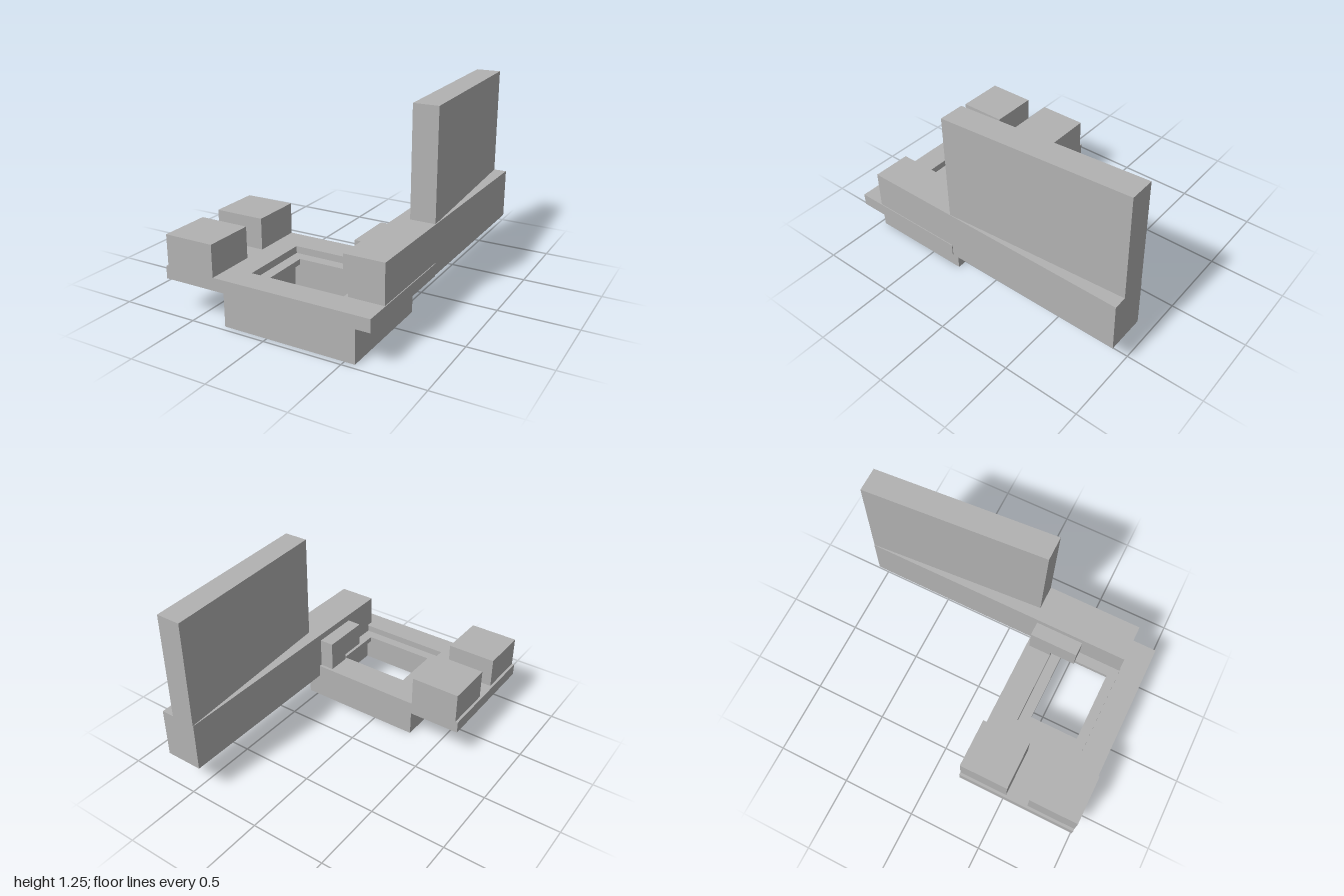
import * as THREE from 'three';

export function createModel() {
  const model = new THREE.Group();
  const grey = new THREE.MeshStandardMaterial({ color: 0xb2b2b2 });
  grey.name = 'plain grey';

  const add = (name, geometry) => {
    const mesh = new THREE.Mesh(geometry, grey);
    mesh.name = name;
    model.add(mesh);
  };

  // Footprint from [x, z] corners
  const outline = (points) => new THREE.Shape(points.map(([x, z]) => new THREE.Vector2(x, z)));
  const rect = (x0, x1, z0, z1) => outline([[x0, z0], [x1, z0], [x1, z1], [x0, z1]]);
  const circle = (x, z, r) => new THREE.Path().absarc(x, z, r, 0, Math.PI * 2);

  // Footprint raised from y0 to y1, with optional holes
  const layer = (name, shape, y0, y1, holes = []) => {
    shape.holes.push(...holes);
    const geometry = new THREE.ExtrudeGeometry(shape, { depth: y1 - y0, bevelEnabled: false, curveSegments: 24 });
    geometry.rotateX(Math.PI / 2).translate(0, y1, 0);
    add(name, geometry);
  };

  // Centres of the two blocks, which are bored from below
  const blockX = -0.495;
  const blockZ = [0.3625, 0.8375];
  const bores = () => blockZ.map((z) => circle(blockX, z, 0.085));

  // Hollow frame under the plate
  layer('lowerFrame', rect(-0.29, 0.565, 0.27, 0.965), 0, 0.23, [rect(-0.21, 0.485, 0.35, 0.885)]);

  // Base plate: through window below, wider recess with one rounded corner above
  layer('plateLower', rect(-0.675, 0.675, 0.2, 1), 0.23, 0.265, [rect(-0.11, 0.38, 0.445, 0.775), ...bores()]);
  const recess = new THREE.Path();
  recess.moveTo(-0.18, 0.375);
  recess.lineTo(0.4, 0.375);
  recess.absarc(0.4, 0.425, 0.05, -Math.PI / 2, 0, false);
  recess.lineTo(0.45, 0.84);
  recess.lineTo(-0.18, 0.84);
  recess.closePath();
  layer('plateUpper', rect(-0.675, 0.675, 0.2, 1), 0.265, 0.31, [recess, ...bores()]);

  // Two bored blocks with closed tops
  for (const z of blockZ) {
    const footprint = () => rect(blockX - 0.1625, blockX + 0.1625, z - 0.1625, z + 0.1625);
    layer('blockBored', footprint(), 0.31, 0.45, [circle(blockX, z, 0.085)]);
    layer('blockTop', footprint(), 0.45, 0.51);
  }

  // Foot of the rail and tab, cut back over the recess
  const foot = new THREE.Shape();
  foot.moveTo(0.42, 0.2);
  foot.lineTo(0.67, 0.2);
  foot.lineTo(0.67, 0.835);
  foot.lineTo(0.45, 0.835);
  foot.lineTo(0.45, 0.425);
  foot.absarc(0.4, 0.425, 0.05, 0, -Math.PI / 2, true);
  foot.lineTo(0.325, 0.375);
  foot.lineTo(0.325, 0.22);
  foot.lineTo(0.42, 0.22);
  foot.closePath();
  layer('railFoot', foot, 0.31, 0.35);

  // Long side rail, deeper behind the plate
  layer('railUpper', rect(0.42, 0.67, -1, 0.835), 0.35, 0.555);
  layer('railRear', rect(0.42, 0.67, -1, 0.2), 0.23, 0.35);
  layer('sideTab', rect(0.325, 0.42, 0.22, 0.545), 0.35, 0.51);

  // Tall panel, turned slightly across the rail
  layer('tallPanel', outline([[0.423, -1], [0.585, -1], [0.667, 0.2], [0.505, 0.2]]), 0.555, 1.25);

  return model;
}
